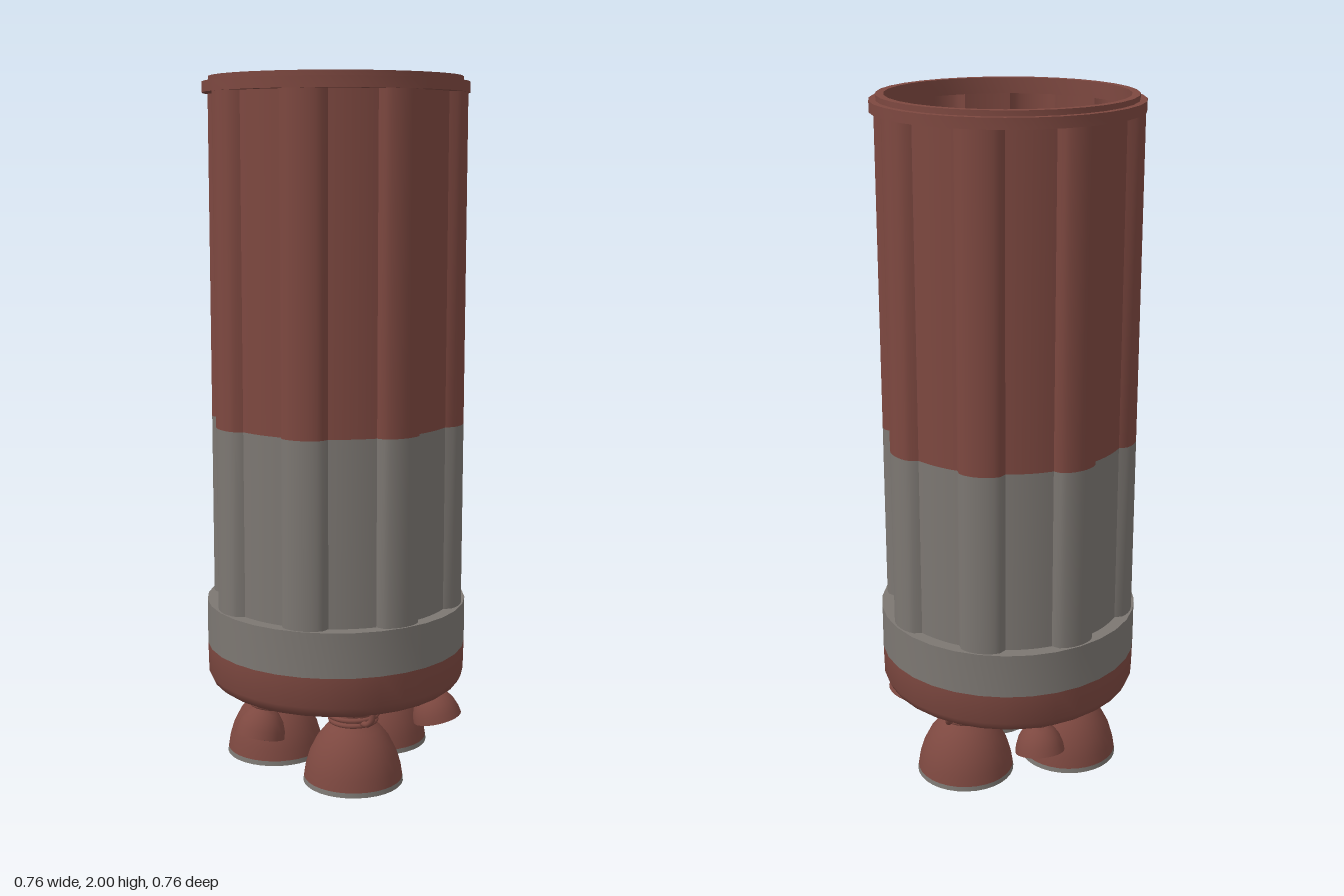
import * as THREE from 'three';
import { toCreasedNormals } from 'three/addons/utils/BufferGeometryUtils.js';

const flat = (name, color) => {
  const m = new THREE.MeshStandardMaterial({ color, side: THREE.DoubleSide });
  m.name = name;
  return m;
};

export function createModel() {
  const red = flat('brick red', 0x7d4840);
  const grey = flat('warm grey', 0x7c7772);
  const dark = flat('soot', 0x333333);

  const root = new THREE.Group();
  root.name = 'rocketStage';

  const add = (parent, name, geometry, material) => {
    const mesh = new THREE.Mesh(geometry, material);
    mesh.name = name;
    parent.add(mesh);
    return mesh;
  };
  const lathe = (points, segments = 32) =>
    toCreasedNormals(new THREE.LatheGeometry(points.map(p => new THREE.Vector2(...p)), segments), 0.6);

  // Open tank wall with eight rounded ribs
  const ribbedWall = (y0, y1) => {
    const g = new THREE.CylinderGeometry(1, 1, y1 - y0, 160, 1, true);
    const pos = g.attributes.position;
    for (let i = 0; i < pos.count; i++) {
      const a = Math.atan2(pos.getX(i), pos.getZ(i));
      const step = Math.PI / 4;
      const t = Math.abs(a - Math.round(a / step) * step) / (Math.PI / 16);
      const r = 0.342 + 0.032 * Math.sqrt(Math.max(0, 1 - t * t));
      pos.setXYZ(i, r * Math.sin(a), pos.getY(i) + (y0 + y1) / 2, r * Math.cos(a));
    }
    return toCreasedNormals(g, 0.6);
  };
  add(root, 'upperWall', ribbedWall(1.03, 1.96), red);
  add(root, 'lowerWall', ribbedWall(0.5, 1.03), grey);

  // Stepped rim
  add(root, 'topRim', lathe([[0.335, 1.955], [0.376, 1.955], [0.376, 1.985], [0.357, 1.985],
    [0.357, 2], [0.335, 2], [0.335, 1.955]]), red);

  // Base skirt and rounded lower edge
  add(root, 'baseBand', lathe([[0.38, 0.37], [0.38, 0.5], [0.34, 0.5]]), grey);
  add(root, 'baseEdge', lathe([[0.333, 0.246], [0.352, 0.25], [0.368, 0.262], [0.378, 0.283], [0.38, 0.37]]), red);

  // Shallow dished floor
  const dish = r => 0.226 + 0.02 * (r / 0.333) ** 2;
  add(root, 'floor', lathe([0, 0.08, 0.16, 0.24, 0.333].map(r => [r, dish(r)])), grey);

  // Soot mark that follows the floor, on its upper and lower faces
  const sootMark = (parent, shape) => {
    for (const offset of [-0.003, 0.003]) {
      const g = new THREE.ShapeGeometry(shape, 24);
      const pos = g.attributes.position;
      for (let i = 0; i < pos.count; i++) {
        const x = pos.getX(i), z = pos.getY(i);
        pos.setXYZ(i, x, dish(Math.hypot(x, z)) + offset, z);
      }
      g.computeVertexNormals();
      add(parent, 'sootMark', g, dark);
    }
  };

  const ring = (parent, name, radius, tube, y) => {
    const m = add(parent, name, new THREE.TorusGeometry(radius, tube, 8, 28), red);
    m.rotation.x = Math.PI / 2;
    m.position.y = y;
  };

  // Mounts are built with +x pointing outward, then turned about the axis
  const mount = (name, degrees) => {
    const g = new THREE.Group();
    g.name = name;
    g.rotation.y = -degrees * Math.PI / 180;
    root.add(g);
    return g;
  };

  // Three main engines
  const bell = [[0.143, 0.014], [0.138, 0.045], [0.126, 0.085], [0.106, 0.125], [0.08, 0.158], [0.055, 0.178]];
  for (const angle of [180, 60, -60]) {
    const m = mount('mainEngineMount', angle);
    const engine = new THREE.Group();
    engine.name = 'mainEngine';
    engine.position.x = 0.19;
    m.add(engine);
    add(engine, 'bell', lathe([...bell, [0.055, 0.205], [0.066, 0.215], [0.066, 0.236]]), red);
    add(engine, 'bellLip', lathe([[0.138, 0], [0.145, 0], [0.143, 0.014]]), grey);
    add(engine, 'bellInside', lathe([[0.138, 0], ...bell.map(([r, y]) => [r - 0.006, y - 0.003]), [0, 0.178]]), dark);
    ring(engine, 'throatRing', 0.066, 0.007, 0.183);
    ring(engine, 'throatRing', 0.07, 0.007, 0.2);
    const path = new THREE.CatmullRomCurve3([[0.05, 0.195, 0], [0.085, 0.193, -0.015],
      [0.1, 0.21, -0.026], [0.102, 0.243, -0.028]].map(p => new THREE.Vector3(...p)));
    add(engine, 'feedPipe', new THREE.TubeGeometry(path, 12, 0.009, 8), red);

    const drop = new THREE.Shape();
    drop.absarc(0.185, 0, 0.092, 0.6, Math.PI * 2 - 0.95, false);
    drop.lineTo(0.3, -0.036);
    drop.lineTo(0.303, -0.022);
    drop.closePath();
    sootMark(m, drop);
  }

  // Three small steering engines, canted outward
  const cup = [[0.072, 0], [0.069, 0.022], [0.06, 0.047], [0.045, 0.068], [0.03, 0.08]];
  for (const angle of [0, 120, -120]) {
    const m = mount('steeringEngineMount', angle);
    const engine = new THREE.Group();
    engine.name = 'steeringEngine';
    engine.position.set(0.31, 0.147, 0);
    engine.rotation.z = 0.24;
    m.add(engine);
    add(engine, 'cup', lathe([...cup, [0.03, 0.088], [0.037, 0.092], [0.037, 0.104]], 24), red);
    add(engine, 'cupInside', lathe([...cup.map(([r, y]) => [r - 0.004, y - 0.001]), [0, 0.08]], 24), dark);
    ring(engine, 'cupRing', 0.034, 0.006, 0.084);

    const disc = new THREE.Shape();
    disc.absarc(0.277, 0, 0.053, 0, Math.PI * 2, false);
    sootMark(m, disc);
  }
  return root;
}
